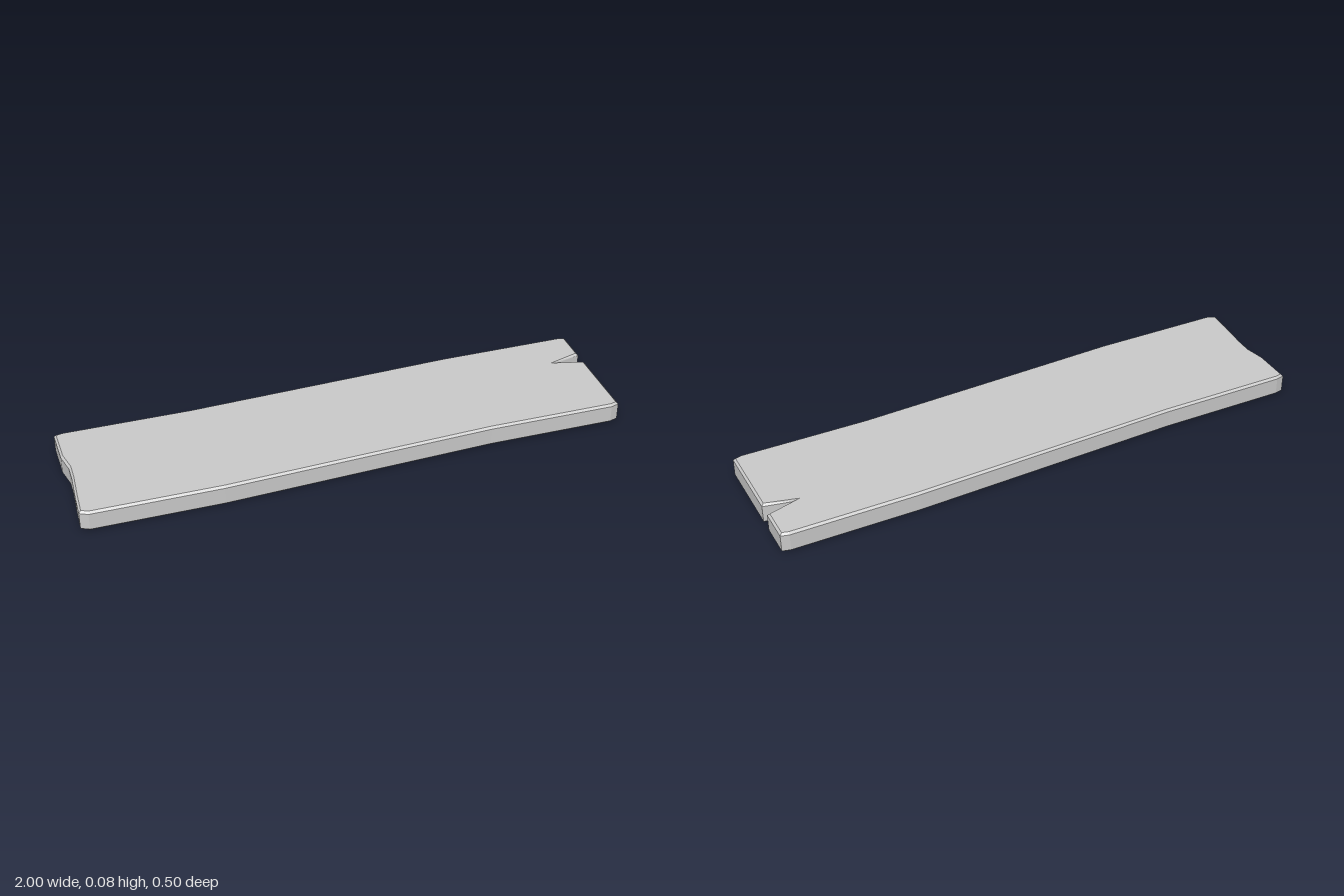
import * as THREE from 'three';

export function createModel() {
  const group = new THREE.Group();
  group.name = 'woodenPlank';

  // Plank outline seen from above as [x, z], with worn corners
  const outline = [
    [-0.97, 0.24], [-0.5, 0.25], [0, 0.237], [0.5, 0.225], [0.97, 0.236], [1, 0.228], // front edge
    [1, -0.062], [0.885, -0.087], [1, -0.112], // split in the left end
    [1, -0.234], [0.97, -0.242], [0.5, -0.25], [0, -0.24], [-0.5, -0.23], [-0.97, -0.24], [-1, -0.234], // back edge
    [-1, -0.1], [-0.985, -0.03], [-0.986, 0.03], [-0.995, 0.14], [-1, 0.225], // chipped right end
  ];
  const shape = new THREE.Shape(outline.map(([x, z]) => new THREE.Vector2(x, -z)));

  // Thin board with a single chamfer kept inside the outline
  const height = 0.08, chamfer = 0.008;
  const geometry = new THREE.ExtrudeGeometry(shape, {
    depth: height - 2 * chamfer,
    bevelEnabled: true,
    bevelThickness: chamfer,
    bevelSize: chamfer,
    bevelOffset: -chamfer,
    bevelSegments: 1,
  });
  geometry.rotateX(-Math.PI / 2);
  geometry.translate(0, chamfer, 0);

  const plank = new THREE.Mesh(
    geometry,
    new THREE.MeshStandardMaterial({ color: 0xcccccc, flatShading: true })
  );
  plank.name = 'plank';
  group.add(plank);
  return group;
}
